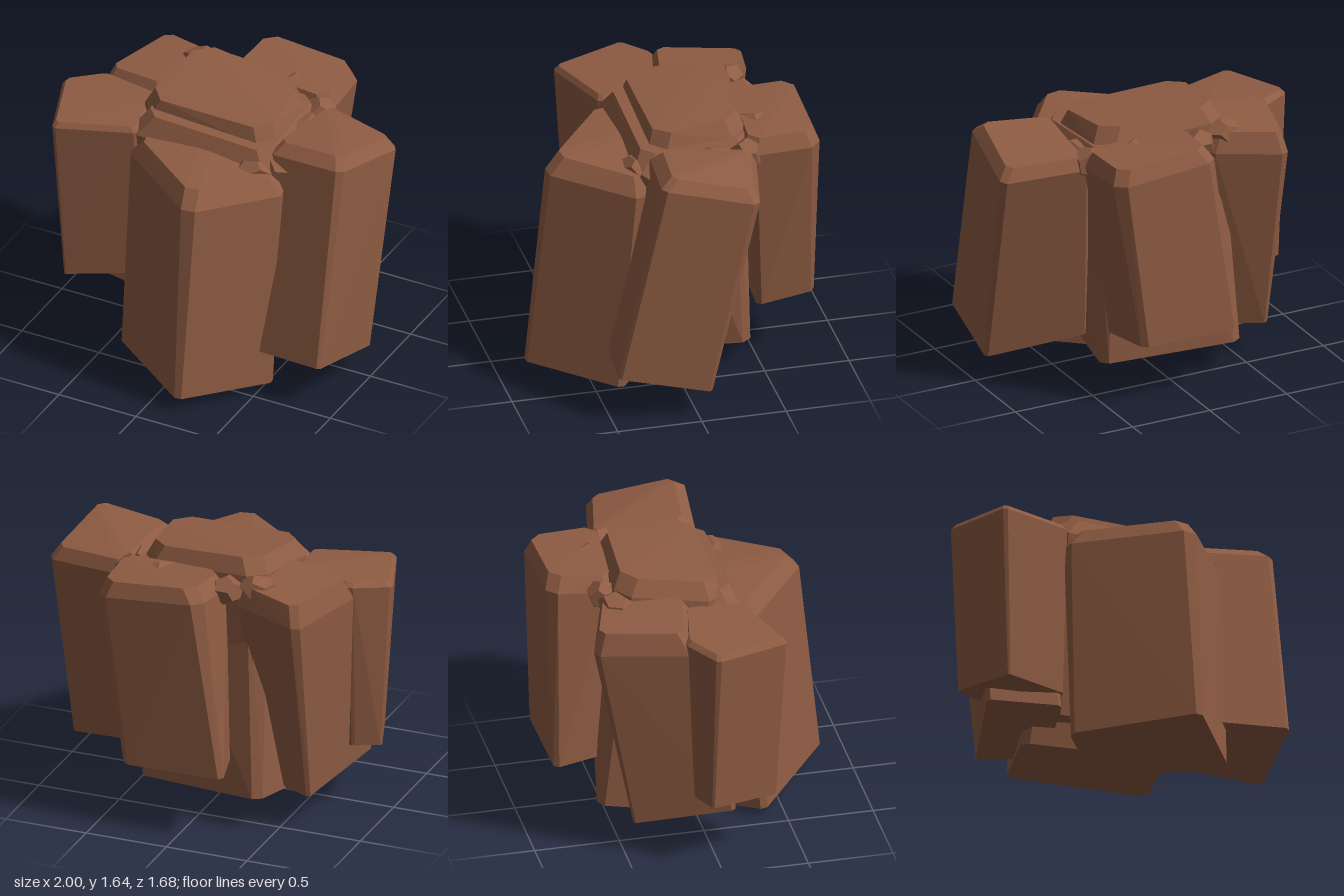
import * as THREE from 'three';
import { ConvexGeometry } from 'three/addons/geometries/ConvexGeometry.js';

const v = (p) => new THREE.Vector3(...p);

// Moves from a towards b by a fixed distance
const step = (a, b, d) => a.clone().add(b.clone().sub(a).setLength(d));

// A leaning stone column: foot corners and head corners in the same order,
// with cut vertical edges and a bevelled head.
function column({ foot, head, cut, drop, inset }) {
  const n = head.length;
  const low = foot.map(v);
  const high = head.map(v);
  const centre = high.reduce((s, p) => s.add(p), new THREE.Vector3()).divideScalar(n);
  const shoulder = high.map((p, i) => step(p, low[i], drop));
  const crown = high.map((p) => step(p, centre, inset));
  const points = [];
  for (const [ring, c] of [[low, cut * 0.5], [shoulder, cut], [crown, cut]]) {
    ring.forEach((p, i) => {
      points.push(step(p, ring[(i + 1) % n], c), step(p, ring[(i + n - 1) % n], c));
    });
  }
  return new ConvexGeometry(points);
}

// Corners run back left, back right, front right, front left as seen from above
const columns = {
  coreColumn: {
    foot: [[-0.41, 0.2, -0.61], [0.41, 0.15, -0.44], [0.28, 0.12, 0.13], [-0.54, 0.16, -0.06]],
    head: [[-0.37, 1.65, -0.48], [0.4, 1.6, -0.42], [0.44, 1.56, 0.15], [-0.44, 1.57, 0.15]],
    cut: 0.09, drop: 0.1, inset: 0.06,
  },
  // Sloping collar that closes the gaps around the core
  coreCollar: {
    foot: [[-0.36, 0.3, -0.5], [0.36, 0.3, -0.38], [0.34, 0.3, 0.15], [-0.4, 0.3, 0.1]],
    head: [[-0.42, 1.53, -0.53], [0.51, 1.5, -0.5], [0.53, 1.47, 0.28], [-0.46, 1.51, 0.27]],
    cut: 0.07, drop: 0.12, inset: 0.12,
  },
  frontColumn: {
    foot: [[-0.08, 0, -0.08], [0.57, 0.04, 0.36], [0.19, 0.09, 0.86], [-0.43, 0.05, 0.38]],
    head: [[-0.06, 1.43, -0.2], [0.6, 1.36, 0.22], [0.19, 1.4, 0.74], [-0.44, 1.39, 0.27]],
    cut: 0.06, drop: 0.1, inset: 0.08,
  },
  leftColumn: {
    foot: [[0.38, 0.25, -0.21], [0.97, 0.17, -0.07], [0.91, 0.29, 0.47], [0.49, 0.27, 0.43]],
    head: [[0.48, 1.47, -0.47], [1.01, 1.44, -0.36], [0.92, 1.56, 0.2], [0.42, 1.52, 0.15]],
    cut: 0.035, drop: 0.07, inset: 0.07,
  },
  backColumn: {
    foot: [[-0.28, 0.4, -0.83], [0.34, 0.4, -0.84], [0.4, 0.38, -0.48], [-0.2, 0.41, -0.5]],
    head: [[-0.13, 1.57, -0.84], [0.52, 1.52, -0.84], [0.54, 1.52, -0.38], [-0.16, 1.54, -0.42]],
    cut: 0.06, drop: 0.09, inset: 0.06,
  },
  rightFrontColumn: {
    foot: [[-0.95, 0.41, -0.05], [-0.8, 0.41, -0.12], [-0.45, 0.4, -0.1], [-0.38, 0.4, 0.18], [-0.8, 0.37, 0.36]],
    head: [[-1.01, 1.44, -0.03], [-0.8, 1.46, -0.18], [-0.42, 1.47, -0.1], [-0.38, 1.43, 0.26], [-0.85, 1.42, 0.42]],
    cut: 0.02, drop: 0.03, inset: 0.03,
  },
  rightBackColumn: {
    foot: [[-0.66, 0.2, -0.46], [-0.3, 0.2, -0.28], [-0.4, 0.31, 0.2], [-0.83, 0.31, 0.11]],
    head: [[-0.68, 1.48, -0.72], [-0.22, 1.52, -0.58], [-0.38, 1.53, -0.05], [-0.83, 1.49, -0.14]],
    cut: 0.04, drop: 0.13, inset: 0.07,
  },
};

// Broken stones wedged in the gaps: position, size, turn
const chips = [
  [[0.46, 1.41, -0.2], [0.1, 0.08, 0.16], 0.4],
  [[0.47, 1.36, 0.14], [0.1, 0.08, 0.12], 1.1],
  [[0.36, 1.36, 0.24], [0.12, 0.07, 0.07], 0.2],
  [[-0.36, 1.48, -0.48], [0.12, 0.08, 0.1], 0.7],
  [[-0.18, 1.46, -0.52], [0.1, 0.09, 0.1], 1.6],
  [[0.22, 1.48, -0.48], [0.14, 0.07, 0.08], 0.9],
  [[0.47, 1.42, -0.4], [0.1, 0.1, 0.1], 2.1],
];

export function createModel() {
  const group = new THREE.Group();
  const stone = new THREE.MeshStandardMaterial({ color: 0x8f5c43, flatShading: true });
  stone.name = 'brown stone';

  for (const [name, spec] of Object.entries(columns)) {
    const mesh = new THREE.Mesh(column(spec), stone);
    mesh.name = name;
    group.add(mesh);
  }

  const rubble = new THREE.Group();
  rubble.name = 'rubble';
  for (const [position, size, turn] of chips) {
    const chip = new THREE.Mesh(new THREE.DodecahedronGeometry(1, 0), stone);
    chip.name = 'stoneChip';
    chip.position.set(...position);
    chip.scale.set(...size);
    chip.rotation.set(0.15, turn, 0.1);
    rubble.add(chip);
  }
  group.add(rubble);
  return group;
}
